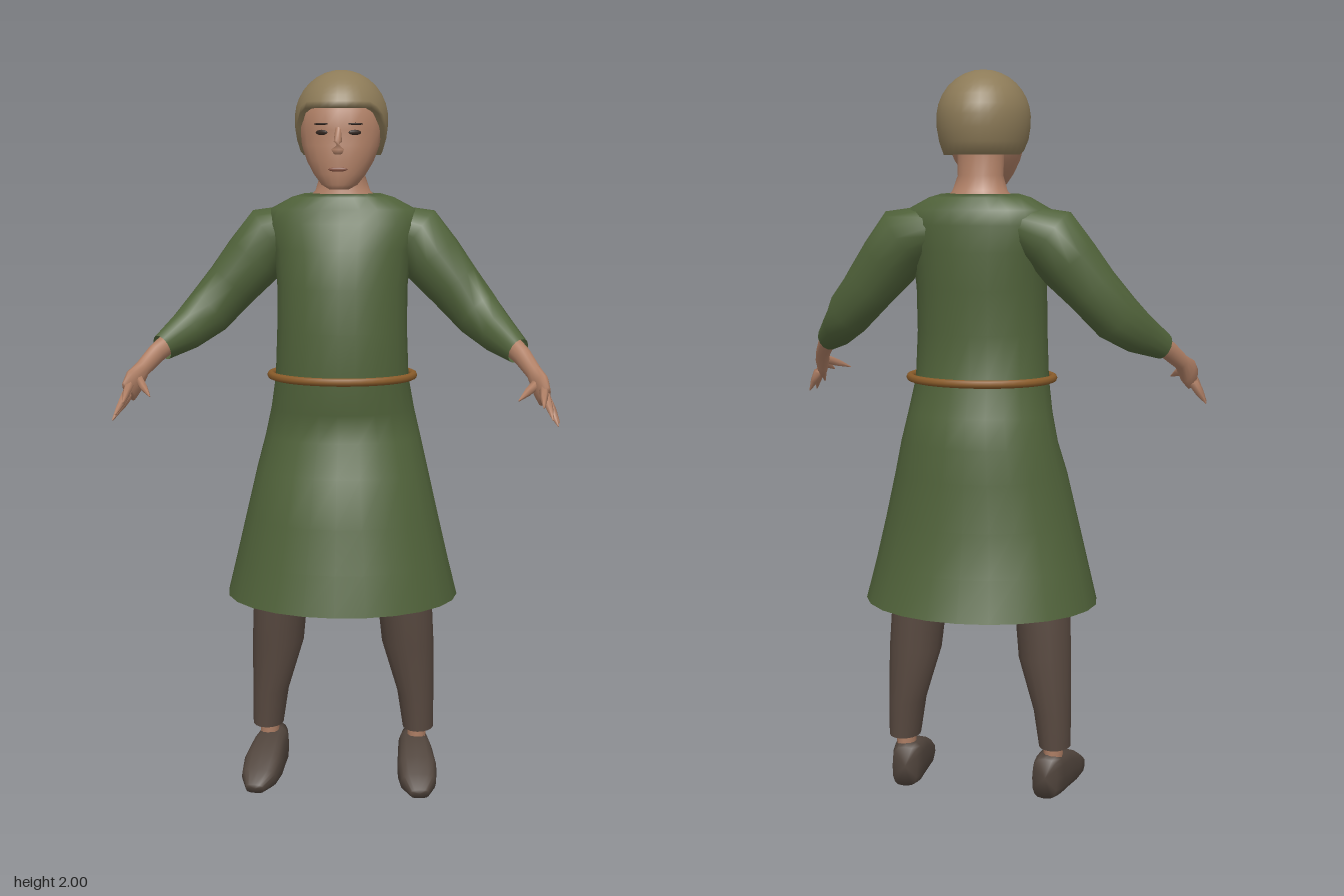
import * as THREE from 'three';

const material = (name, color, side = THREE.FrontSide) => {
  const m = new THREE.MeshStandardMaterial({ color, side });
  m.name = name;
  return m;
};

// Smooth closed surface through rows of points, each row running counter-clockwise
function skin(rows) {
  const n = rows[0].length, pos = [], idx = [];
  rows.forEach(r => r.forEach(p => pos.push(p.x, p.y, p.z)));
  for (let i = 0; i < rows.length - 1; i++) {
    for (let j = 0; j < n; j++) {
      const k = (j + 1) % n, a = i * n + j, b = i * n + k;
      idx.push(a, b, b + n, a, b + n, a + n);
    }
  }
  const g = new THREE.BufferGeometry();
  g.setAttribute('position', new THREE.Float32BufferAttribute(pos, 3));
  g.setIndex(idx);
  g.computeVertexNormals();
  return g;
}

// Close both ends by collapsing a row onto its centre
function capped(rows) {
  const collapse = row => {
    const c = row.reduce((s, p) => s.add(p), new THREE.Vector3()).divideScalar(row.length);
    return row.map(() => c.clone());
  };
  return [collapse(rows[0]), ...rows, collapse(rows[rows.length - 1])];
}

// Upright oval sections: [y, halfWidth, zFront, zBack, centreX]
function upright(sections, n = 20) {
  return sections.map(([y, w, zf, zb, cx = 0]) =>
    Array.from({ length: n }, (_, j) => {
      const a = j / n * Math.PI * 2;
      return new THREE.Vector3(cx + w * Math.sin(a), y, (zf + zb) / 2 + (zf - zb) / 2 * Math.cos(a));
    }));
}

// Oval sections square to a path: [x, y, z, halfWidth, halfHeight]
function limb(sections, n = 12, power = 1) {
  const pts = sections.map(s => new THREE.Vector3(s[0], s[1], s[2]));
  const up = new THREE.Vector3(0, 1, 0);
  const bend = v => Math.sign(v) * Math.abs(v) ** power;
  return sections.map((s, i) => {
    const t = pts[Math.min(i + 1, pts.length - 1)].clone().sub(pts[Math.max(i - 1, 0)]).normalize();
    const u = up.clone().cross(t).normalize(), v = t.clone().cross(u);
    return Array.from({ length: n }, (_, j) => {
      const a = j / n * Math.PI * 2;
      return pts[i].clone().addScaledVector(u, s[3] * bend(Math.cos(a))).addScaledVector(v, s[4] * bend(Math.sin(a)));
    });
  });
}

export function createModel() {
  const green = material('green cloth', 0x50623a, THREE.DoubleSide);
  const skinTone = material('skin', 0xb08066);
  const blond = material('hair', 0x8d7b58, THREE.DoubleSide);
  const brown = material('brown hose', 0x584940, THREE.DoubleSide);
  const shoeBrown = material('shoe leather', 0x50443c);
  const leather = material('belt leather', 0x8a5c2a);
  const dark = material('eye dark', 0x33261f);
  const lip = material('lip', 0x84503f);

  const model = new THREE.Group();
  const add = (name, geometry, mat, parent = model) => {
    const m = new THREE.Mesh(geometry, mat);
    m.name = name;
    parent.add(m);
    return m;
  };

  // Tunic: flared skirt, bodice, sloping shoulders and open neck
  add('tunic', skin(upright([
    [0.55, 0.325, 0.245, -0.315], [0.66, 0.298, 0.22, -0.28], [0.78, 0.27, 0.19, -0.252],
    [0.91, 0.24, 0.165, -0.24], [1.0, 0.218, 0.112, -0.228], [1.08, 0.2, 0.118, -0.215],
    [1.17, 0.185, 0.13, -0.18], [1.3, 0.18, 0.122, -0.168], [1.42, 0.18, 0.112, -0.175],
    [1.52, 0.19, 0.088, -0.176], [1.59, 0.212, 0.062, -0.172], [1.63, 0.2, 0.048, -0.165],
    [1.662, 0.14, 0.042, -0.145], [1.672, 0.105, 0.03, -0.13], [1.645, 0.096, 0.025, -0.125],
  ], 24)), green);

  // Belt hanging loosely round the waist
  const beltGeometry = new THREE.TorusGeometry(1, 0.055, 8, 40);
  beltGeometry.rotateX(Math.PI / 2).scale(0.198, 0.2, 0.17).translate(0, 1.174, -0.033);
  add('belt', beltGeometry, leather);

  // Neck and head
  add('neck', skin(upright([
    [1.62, 0.105, 0.025, -0.13], [1.655, 0.098, 0.022, -0.128], [1.68, 0.075, 0.012, -0.115],
    [1.72, 0.062, 0.01, -0.1], [1.8, 0.064, 0.02, -0.1],
  ])), skinTone);
  const head = new THREE.Group();
  head.name = 'head';
  model.add(head);
  add('face', skin(capped(upright([
    [1.685, 0.026, 0.1, 0.045], [1.697, 0.048, 0.108, 0.01], [1.725, 0.07, 0.112, -0.02],
    [1.76, 0.09, 0.113, -0.05], [1.8, 0.104, 0.112, -0.07], [1.84, 0.11, 0.105, -0.085],
    [1.89, 0.108, 0.108, -0.09], [1.94, 0.08, 0.075, -0.08],
  ]))), skinTone, head);
  add('nose', skin(capped(limb([
    [0, 1.845, 0.1, 0.008, 0.008], [0, 1.81, 0.111, 0.011, 0.012],
    [0, 1.79, 0.117, 0.017, 0.013], [0, 1.78, 0.11, 0.012, 0.007],
  ], 10))), skinTone, head);

  // Bowl-cut hair: straight fringe, lower at the sides and nape
  const hairRows = [];
  const edgeAngle = a => {
    const turn = Math.min(a, Math.PI * 2 - a);
    const drop = THREE.MathUtils.smoothstep(turn, 0.75, 1.75);
    return THREE.MathUtils.lerp(1.36, 2.13, drop);
  };
  for (let i = -1; i <= 10; i++) {
    hairRows.push(Array.from({ length: 32 }, (_, j) => {
      const a = j / 32 * Math.PI * 2;
      const th = edgeAngle(a) * (1 - Math.max(i, 0) / 10);
      const tuck = i < 0 ? 0.8 : 1;
      const r = Math.sin(th) * tuck, c = Math.cos(th);
      const y = 1.87 + c * (c > 0 ? 0.13 : 0.18);
      return new THREE.Vector3(0.126 * r * Math.sin(a), y, -0.01 + 0.152 * r * Math.cos(a));
    }));
  }
  add('hair', skin(hairRows), blond, head);

  // Facial features as thin shapes lying on the face
  const patch = (name, x, y, z, w, h, turn, mat) => {
    const m = add(name, new THREE.SphereGeometry(1, 12, 6), mat, head);
    m.position.set(x, y, z);
    m.scale.set(w, h, 0.004);
    m.rotation.y = turn;
  };
  patch('mouth', 0, 1.738, 0.111, 0.026, 0.006, 0, lip);

  for (const s of [1, -1]) {
    const side = s > 0 ? 'left' : 'right';
    const flip = sections => sections.map(([x, ...rest]) => [s * x, ...rest]);
    patch(side + 'Eye', s * 0.044, 1.834, 0.099, 0.018, 0.007, s * 0.42, dark);
    patch(side + 'Brow', s * 0.046, 1.856, 0.098, 0.022, 0.003, s * 0.42, dark);

    // Sleeve from inside the shoulder to the cuff
    add(side + 'Sleeve', skin(limb(flip([
      [0.12, 1.585, -0.075, 0.07, 0.06], [0.2, 1.555, -0.08, 0.085, 0.088], [0.25, 1.49, -0.07, 0.078, 0.085],
      [0.31, 1.42, -0.058, 0.066, 0.075], [0.375, 1.345, -0.04, 0.057, 0.07],
      [0.425, 1.3, 0.015, 0.047, 0.058], [0.483, 1.258, 0.085, 0.032, 0.037],
    ]), 14)), green);

    // Forearm, palm and tapering fingers
    const hand = new THREE.Group();
    hand.name = side + 'Hand';
    model.add(hand);
    add('forearm', skin(capped(limb(flip([
      [0.45, 1.285, 0.05, 0.028, 0.03], [0.495, 1.245, 0.105, 0.024, 0.027],
      [0.525, 1.208, 0.155, 0.021, 0.023], [0.54, 1.18, 0.19, 0.02, 0.038], [0.55, 1.155, 0.218, 0.014, 0.036],
    ])))), skinTone, hand);
    const fingers = [
      [[0.548, 1.175, 0.215], [0.545, 1.14, 0.312]],
      [[0.552, 1.16, 0.215], [0.57, 1.105, 0.295]],
      [[0.555, 1.148, 0.21], [0.585, 1.085, 0.265]],
      [[0.555, 1.145, 0.195], [0.59, 1.085, 0.215]],
      [[0.53, 1.185, 0.185], [0.482, 1.152, 0.275]],
    ];
    for (const [a, b] of fingers) {
      const mid = a.map((v, i) => v * 0.5 + b[i] * 0.5);
      add('finger', skin(capped(limb(flip([
        [...a, 0.013, 0.014], [...mid, 0.01, 0.011], [...b, 0.002, 0.002],
      ]), 6))), skinTone, hand);
    }

    // Leg, ankle and shoe
    const leg = sections => sections.map(([y, w, f, b, x]) => [y, w, f, b, s * x]);
    add(side + 'Leg', skin(upright(leg([
      [0.145, 0.044, -0.005, -0.118, 0.218], [0.25, 0.052, 0.003, -0.125, 0.21],
      [0.4, 0.074, 0.02, -0.132, 0.187], [0.55, 0.078, 0.042, -0.128, 0.176],
      [0.75, 0.086, 0.055, -0.13, 0.14], [0.98, 0.095, 0.06, -0.15, 0.1],
    ]), 16)), brown);
    add(side + 'Ankle', skin(upright(leg([
      [0.09, 0.026, -0.03, -0.095, 0.214], [0.2, 0.03, -0.025, -0.1, 0.214],
    ]), 10)), skinTone);
    add(side + 'Shoe', skin(capped(limb(flip([
      [0.202, 0.066, -0.124, 0.036, 0.056], [0.205, 0.063, -0.08, 0.045, 0.062], [0.212, 0.061, -0.02, 0.05, 0.06],
      [0.22, 0.048, 0.045, 0.056, 0.046], [0.226, 0.033, 0.1, 0.05, 0.03], [0.232, 0.02, 0.148, 0.026, 0.014],
    ]), 16, 0.65))), shoeBrown);
  }
  return model;
}
